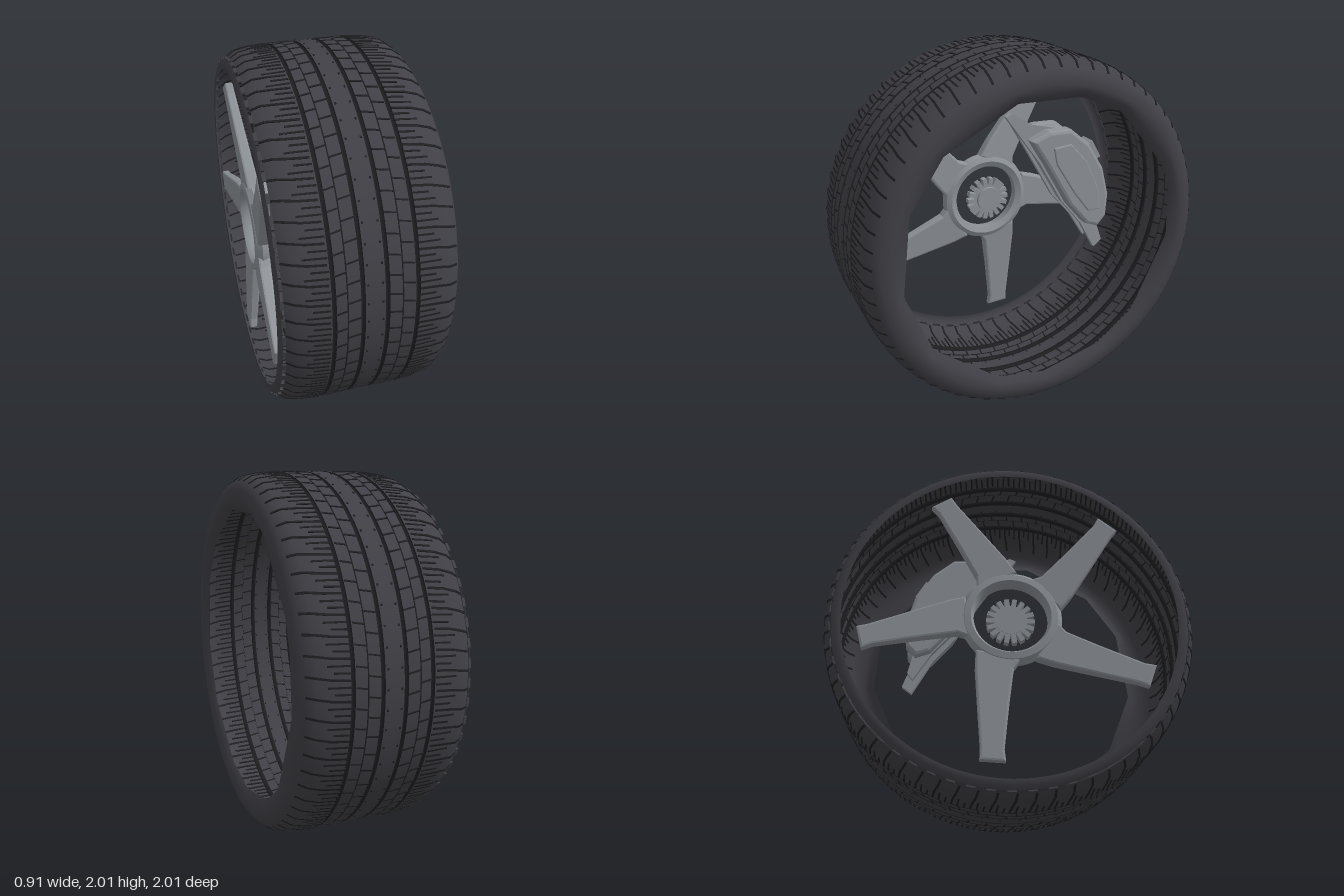
import * as THREE from 'three';
import { mergeGeometries, toCreasedNormals } from 'three/addons/utils/BufferGeometryUtils.js';

const rubber = new THREE.MeshStandardMaterial({ color: 0x414046, side: THREE.DoubleSide });
rubber.name = 'rubber';
const groove = new THREE.MeshStandardMaterial({ color: 0x1f1f22, side: THREE.DoubleSide });
groove.name = 'groove black';
const alloy = new THREE.MeshStandardMaterial({ color: 0x8f9499 });
alloy.name = 'alloy grey';

const V2 = (list) => list.map(([x, y]) => new THREE.Vector2(x, y));
const rad = THREE.MathUtils.degToRad;

// Everything is made with the axle along local z; the root turns z onto x.
export function createModel() {
  const root = new THREE.Group();
  root.name = 'wheel';
  const wheel = new THREE.Group();
  wheel.name = 'wheelAssembly';
  wheel.rotation.y = Math.PI / 2;
  wheel.position.y = 1;
  root.add(wheel);

  const add = (name, geometry, material, parent = wheel) => {
    const mesh = new THREE.Mesh(geometry, material);
    mesh.name = name;
    parent.add(mesh);
    return mesh;
  };
  // Profile of [radius, axial position] spun round the axle
  const spin = (profile, segments = 96) =>
    new THREE.LatheGeometry(V2(profile), segments).rotateX(Math.PI / 2);
  const slab = (points, from, to, bevel = 0) => {
    const g = new THREE.ExtrudeGeometry(new THREE.Shape(V2(points)), {
      depth: to - from - 2 * bevel, bevelEnabled: bevel > 0, bevelSize: bevel,
      bevelThickness: bevel, bevelOffset: -bevel, bevelSegments: 2, curveSegments: 8,
    });
    return g.translate(0, 0, from + bevel);
  };

  // ---- Tyre shell: ribs with sunken circumferential grooves between them
  const shoulder = [[1, 0.22], [0.994, 0.31], [0.98, 0.38], [0.95, 0.425]];
  const radiusAt = (w) => {
    const a = Math.abs(w);
    for (let i = 1; i < shoulder.length; i++) {
      const [r0, w0] = shoulder[i - 1], [r1, w1] = shoulder[i];
      if (a <= w0) return r0;
      if (a <= w1) return r0 + (r1 - r0) * (a - w0) / (w1 - w0);
    }
    return 0.947;
  };
  const channels = [-0.2, -0.06, 0.06, 0.21], half = 0.011;
  const tyre = new THREE.Group();
  tyre.name = 'tyre';
  wheel.add(tyre);
  for (let i = 0; i < 3; i++)
    add('treadRib', spin([[1, channels[i] + half], [1, channels[i + 1] - half]]), rubber, tyre);
  for (const w of channels)
    add('treadChannel', spin([[1, w - half], [0.984, w - half], [0.984, w + half], [1, w + half]]), groove, tyre);
  add('outerShoulder', spin([...shoulder.map(([r, w]) => [r, -w]).reverse(), [1, channels[0] - half]]), rubber, tyre);

  // Right sidewall, its inner edge pulled onto an irregular polygon
  const corners = [-171.5, -144.5, -111, -90, -63, -43, -7, 14, 25, 57.5, 76.5, 102, 134, 157.5, 188.5];
  const polygonRadius = (angle) => {
    let a = THREE.MathUtils.radToDeg(angle);
    if (a < corners[0]) a += 360;
    const i = Math.max(1, corners.findIndex((c) => c >= a));
    const mid = (corners[i] + corners[i - 1]) / 2, span = (corners[i] - corners[i - 1]) / 2;
    return 0.81 * Math.cos(rad(span)) / Math.cos(rad(a - mid));
  };
  const side = spin([[1, channels[3] + half], ...shoulder.slice(1), [0.915, 0.448], [0.87, 0.456],
    [0.83, 0.447], [0.8, 0.42]], 180);
  const p = side.attributes.position;
  for (let i = 0; i < p.count; i++) {
    const x = p.getX(i), y = p.getY(i), r = Math.hypot(x, y);
    if (r > 0.86) continue;
    const target = polygonRadius(Math.atan2(y, x)) + (r > 0.81 ? 0.035 : 0);
    p.setXY(i, x * target / r, y * target / r);
  }
  add('innerSidewall', side, rubber, tyre);

  // Left bead, held by small bridges across a slotted seam
  add('outerBead', spin([[0.89, -0.452], [0.92, -0.455], [0.943, -0.437]]), rubber, tyre);

  // Thin bar lying on the shell between two [angle, axial] points
  const onShell = ([a, w]) => new THREE.Vector3(Math.cos(a) * radiusAt(w), Math.sin(a) * radiusAt(w), w);
  const bar = (from, to, width, thick = 0.008) => {
    const A = onShell(from), B = onShell(to), along = B.clone().sub(A);
    const length = along.length(), mid = A.clone().add(B).multiplyScalar(0.5);
    along.normalize();
    const out = new THREE.Vector3(mid.x, mid.y, 0).normalize();
    const across = along.clone().cross(out).normalize();
    out.crossVectors(across, along);
    const m = new THREE.Matrix4().makeBasis(out, across, along).setPosition(mid);
    return new THREE.BoxGeometry(thick, width, length).applyMatrix4(m);
  };
  const bridges = [];
  for (let i = 0; i < 60; i++) {
    const a = i / 60 * Math.PI * 2;
    bridges.push(bar([a, -0.423], [a, -0.44], 0.045));
  }
  add('seamBridges', mergeGeometries(bridges), rubber, tyre);

  // ---- Sipes: long shoulder cuts, short ticks and block cuts in the ribs
  const sipes = [];
  const rows = 64, step = Math.PI * 2 / rows;
  for (let i = 0; i < rows; i++) {
    const a = i * step;
    for (const s of [-1, 1]) {
      const path = [[a, s * 0.22], [a + s * 0.008, s * 0.31], [a + s * 0.022, s * 0.38], [a + s * 0.03, s * 0.423]];
      for (let k = 1; k < path.length; k++) sipes.push(bar(path[k - 1], path[k], 0.011));
      for (const f of [0.33, 0.67])
        sipes.push(bar([a + f * step, s * 0.215], [a + f * step + s * 0.006, s * (f < 0.5 ? 0.3 : 0.33)], 0.009));
      sipes.push(bar([a, s * 0.07], [a + 0.012, s * 0.135], 0.008));
      sipes.push(bar([a + step / 2, s * 0.135], [a + step / 2 + 0.012, s * 0.195], 0.008));
      sipes.push(bar([a + step / 3, s * 0.032], [a + step / 3, s * 0.04], 0.01));
    }
  }
  add('sipes', mergeGeometries(sipes), groove, tyre);
  for (const w of [-0.135, 0.135])
    add('fineGroove', spin([[0.997, w - 0.003], [1.0015, w - 0.003], [1.0015, w + 0.003], [0.997, w + 0.003]]), groove, tyre);

  // ---- Five swept spokes, leaning outwards towards the tips
  const spokeShape = [[0.22, -0.09], [0.3, -0.05], [0.5, -0.05], [0.74, -0.055], [0.8, -0.07],
    [0.81, 0.06], [0.75, 0.065], [0.5, 0.115], [0.32, 0.15], [0.22, 0.16]];
  for (let i = 0; i < 5; i++) {
    const g = slab(spokeShape, 0, 0.07, 0.012);
    const q = g.attributes.position;
    for (let k = 0; k < q.count; k++) {
      const t = (q.getX(k) - 0.22) / 0.59;
      q.setZ(k, q.getZ(k) * (1 - 0.35 * t) - 0.415 - 0.03 * t);
    }
    g.computeVertexNormals();
    add('spoke', g, alloy).rotation.z = rad(-83 + 72 * i);
  }

  // Hub ring and the toothed centre
  add('hubRing', toCreasedNormals(spin([[0.2, -0.35], [0.2, -0.4], [0.215, -0.425], [0.25, -0.42],
    [0.275, -0.39], [0.265, -0.35], [0.235, -0.335], [0.2, -0.35]].reverse(), 48), 0.7),
  Object.assign(alloy, { side: THREE.DoubleSide }));
  const teeth = [];
  for (let i = 0; i < 18; i++)
    for (const [f, r] of [[-0.42, 0.09], [-0.28, 0.133], [0.28, 0.133], [0.42, 0.09]]) {
      const a = (i + f) / 18 * Math.PI * 2;
      teeth.push([Math.cos(a) * r, Math.sin(a) * r]);
    }
  add('splineGear', slab(teeth, -0.36, -0.32), alloy);
  add('splineCap', new THREE.CylinderGeometry(0.075, 0.082, 0.06, 32).rotateX(Math.PI / 2)
    .translate(0, 0, -0.335), alloy);

  // ---- Brake caliper: two cheeks, a bridge, a backing plate and a bleed block
  const caliper = new THREE.Group();
  caliper.name = 'brakeCaliper';
  wheel.add(caliper);
  const cheek = [[0.07, 0.48], [0.18, 0.525], [0.32, 0.52], [0.44, 0.42], [0.54, 0.26], [0.585, 0.09],
    [0.575, -0.05], [0.52, -0.11], [0.44, -0.08], [0.32, 0.06], [0.17, 0.32]];
  add('innerCheek', slab(cheek, 0.03, 0.13, 0.02), alloy, caliper);
  add('outerCheek', slab(cheek, -0.12, -0.04, 0.02), alloy, caliper);
  add('bridge', slab([[0.2, 0.51], [0.32, 0.51], [0.44, 0.41], [0.535, 0.26], [0.575, 0.09], [0.56, -0.03],
    [0.49, 0], [0.45, 0.2], [0.36, 0.34]], -0.06, 0.05), alloy, caliper);
  add('raisedPanel', slab([[0.2, 0.43], [0.31, 0.44], [0.42, 0.32], [0.5, 0.15], [0.52, 0.01],
    [0.44, 0.01], [0.34, 0.14], [0.22, 0.33]], 0.125, 0.142, 0.006), alloy, caliper);
  add('backingPlate', slab([[-0.06, 0.62], [-0.02, 0.635], [0.1, 0.56], [0.34, 0.5], [0.5, 0.2],
    [0.53, -0.06], [0.595, -0.24], [0.54, -0.28], [0.44, -0.1], [0.3, 0.07], [0.15, 0.33]], 0.03, 0.06), alloy, caliper);
  add('rearPlate', slab([[0.02, 0.55], [0.12, 0.54], [0.3, 0.4], [0.5, 0.05], [0.56, -0.2],
    [0.53, -0.24], [0.43, -0.08], [0.3, 0.07], [0.15, 0.33]], -0.08, -0.05), alloy, caliper);
  const block = add('bleedBlock', new THREE.BoxGeometry(0.08, 0.12, 0.1), alloy, caliper);
  block.position.set(0.48, 0.35, 0.03);
  block.rotation.z = rad(30);

  return root;
}
